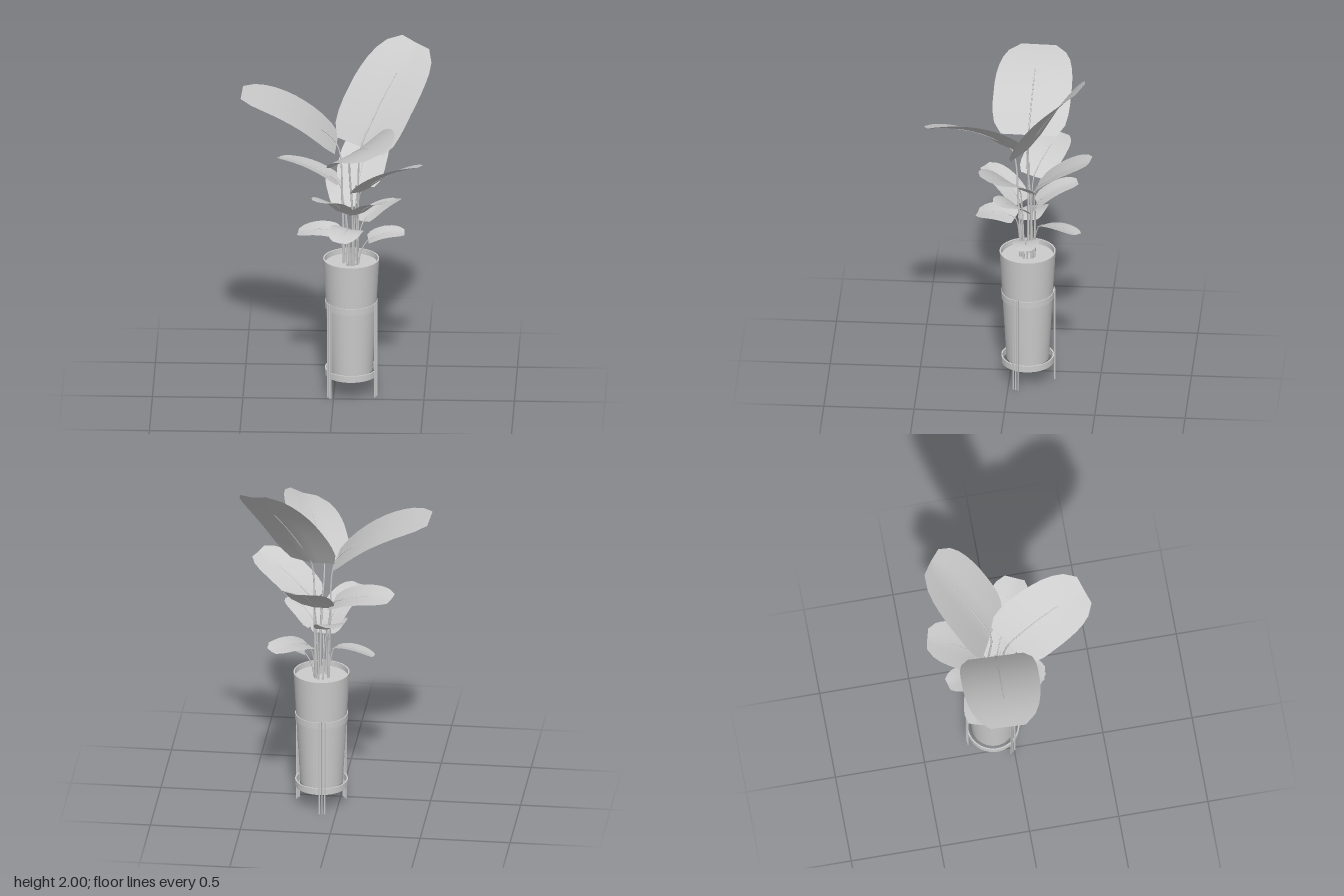
import * as THREE from 'three';

const CX = 0.095, CZ = -0.10;
const SOIL_Y = 0.77;
const material = new THREE.MeshStandardMaterial({ color: 0xcccccc, side: THREE.DoubleSide });
const V = (x, y, z) => new THREE.Vector3(x, y, z);

function add(parent, geometry, name) {
  const mesh = new THREE.Mesh(geometry, material);
  mesh.name = name;
  parent.add(mesh);
  return mesh;
}

// Lathe whose profile keeps its corners sharp: one band per profile segment
function turned(parent, profile, name) {
  const group = new THREE.Group();
  group.name = name;
  for (let i = 0; i + 1 < profile.length; i++) {
    const pts = [profile[i], profile[i + 1]].map(([r, y]) => new THREE.Vector2(r, y));
    add(group, new THREE.LatheGeometry(pts, 48), name + 'Surface');
  }
  parent.add(group);
}

// Half width along a blade, as a share of the full half width
const OUTLINE = [0.72, 0.92, 0.98, 1, 1, 1, 0.98, 0.94, 0.87, 0.74, 0.45];

// Blade swept along an arched spine, rolled about it and folded along the midrib
function bladeGeometry(spine, halfWidth, roll, fold) {
  const rows = OUTLINE.length - 1, cols = 6;
  const positions = [], index = [];
  const ends = spine.v2.clone().sub(spine.v0);
  const across = V(ends.z, 0, -ends.x).normalize();
  for (let i = 0; i <= rows; i++) {
    const t = i / rows, w = halfWidth * OUTLINE[i];
    const centre = spine.getPoint(t), tangent = spine.getTangent(t);
    const side = across.clone().applyAxisAngle(tangent, roll);
    const normal = tangent.clone().cross(side);
    for (let j = 0; j <= cols; j++) {
      const u = (j / cols) * 2 - 1;
      const p = centre.clone().addScaledVector(side, u * w).addScaledVector(normal, fold * w * Math.abs(u));
      positions.push(p.x, p.y, p.z);
      if (i < rows && j < cols) {
        const a = i * (cols + 1) + j, b = a + cols + 1;
        index.push(a, b, a + 1, a + 1, b, b + 1);
      }
    }
  }
  const geometry = new THREE.BufferGeometry();
  geometry.setAttribute('position', new THREE.Float32BufferAttribute(positions, 3));
  geometry.setIndex(index);
  geometry.computeVertexNormals();
  return geometry;
}

// Tube that thins towards its end
function taperedTube(path, radius, endShare) {
  const rings = 28, sides = 6;
  const geometry = new THREE.TubeGeometry(path, rings, radius, sides);
  const pos = geometry.attributes.position, p = V(0, 0, 0);
  for (let i = 0; i < pos.count; i++) {
    const t = Math.floor(i / (sides + 1)) / rings;
    p.fromBufferAttribute(pos, i).lerp(path.getPointAt(t), t * (1 - endShare));
    pos.setXYZ(i, p.x, p.y, p.z);
  }
  return geometry;
}

// One leaf: blade plus a stalk that rises from the soil and runs on as the midrib
function addLeaf(parent, { base, tip, arch, width, roll = 0, fold = 0.1, thick = 0.006 }) {
  const group = new THREE.Group();
  group.name = 'leaf';
  const b = V(...base), e = V(...tip);
  const mid = b.clone().lerp(e, 0.42);
  mid.y += arch;
  const spine = new THREE.QuadraticBezierCurve3(b, mid, e);
  add(group, bladeGeometry(spine, width / 2, roll, fold), 'blade');

  const out = V(e.x - CX, 0, e.z - CZ).normalize();
  const root = V(CX, SOIL_Y - 0.01, CZ).addScaledVector(out, 0.04);
  const knee = root.clone().lerp(b, 0.5);
  knee.x = root.x + (b.x - root.x) * 0.22;
  knee.z = root.z + (b.z - root.z) * 0.22;
  const path = new THREE.CatmullRomCurve3([
    root, knee, b, spine.getPoint(0.25), spine.getPoint(0.5), spine.getPoint(0.68),
  ]);
  add(group, taperedTube(path, thick, 0.3), 'stalk');
  parent.add(group);
}

const LEAVES = [
  // tall crown leaves
  { base: [0.15, 1.46, -0.105], tip: [0.445, 1.97, -0.39], arch: 0.09, width: 0.42, roll: 0.3, thick: 0.008 },
  { base: [0.015, 1.48, -0.10], tip: [-0.51, 1.77, -0.12], arch: 0.12, width: 0.43, fold: 0, thick: 0.008 },
  { base: [0.09, 1.43, -0.01], tip: [0.26, 1.63, 0.44], arch: 0.10, width: 0.37, roll: 0.42, thick: 0.008 },
  // middle leaves
  { base: [0.13, 1.21, -0.15], tip: [0.2, 1.42, -0.45], arch: 0.05, width: 0.27 },
  { base: [0.15, 1.21, -0.06], tip: [0.47, 1.42, 0.09], arch: 0.06, width: 0.26, roll: -0.2 },
  { base: [0.03, 1.23, -0.13], tip: [-0.31, 1.33, -0.26], arch: 0.06, width: 0.21, roll: 0.22 },
  // lower middle leaves
  { base: [0.06, 1.08, -0.06], tip: [-0.08, 1.23, 0.15], arch: 0.06, width: 0.18 },
  { base: [0.13, 1.07, -0.07], tip: [0.29, 1.18, 0.05], arch: 0.05, width: 0.17, roll: -0.15 },
  { base: [0.06, 1.08, -0.15], tip: [0.0, 1.19, -0.37], arch: 0.05, width: 0.16 },
  // low leaves
  { base: [0.16, 0.99, -0.17], tip: [0.34, 1.04, -0.39], arch: 0.04, width: 0.15, roll: -0.2, thick: 0.005 },
  { base: [0.09, 1.0, -0.03], tip: [0.04, 1.0, 0.18], arch: 0.04, width: 0.18, roll: -0.1, thick: 0.005 },
  { base: [0.02, 0.95, -0.10], tip: [-0.20, 0.93, -0.15], arch: 0.04, width: 0.15, roll: -0.2, thick: 0.005 },
  { base: [0.19, 0.91, -0.10], tip: [0.39, 0.95, -0.11], arch: 0.04, width: 0.15, roll: 0.1, thick: 0.005 },
];

export function createModel() {
  const model = new THREE.Group();
  model.name = 'pottedPlant';

  // Tapered pot with a thin rim, and the soil inside
  const planter = new THREE.Group();
  planter.name = 'planter';
  planter.position.set(CX, 0, CZ);
  turned(planter, [[0, 0.14], [0.118, 0.14], [0.155, 0.8], [0.147, 0.8], [0.143, 0.74]], 'pot');
  const soil = add(planter, new THREE.CircleGeometry(0.145, 48), 'soil');
  soil.rotation.x = -Math.PI / 2;
  soil.position.y = SOIL_Y;

  // Stand: two flat hoops
  for (const [name, y] of [['upperHoop', 0.515], ['lowerHoop', 0.115]]) {
    turned(planter, [[0.138, y], [0.146, y], [0.146, y + 0.037], [0.138, y + 0.037], [0.138, y]], name);
  }

  // Three legs, each made of three thin rods side by side
  for (let k = 0; k < 3; k++) {
    const leg = new THREE.Group();
    leg.name = 'leg';
    for (const offset of [-0.015, 0, 0.015]) {
      const rod = add(leg, new THREE.CylinderGeometry(0.004, 0.004, 0.56, 8), 'legRod');
      rod.position.set(0.149, 0.28, offset);
    }
    leg.rotation.y = THREE.MathUtils.degToRad(97.6 - 120 * k);
    planter.add(leg);
  }
  model.add(planter);

  // Foliage
  const plant = new THREE.Group();
  plant.name = 'plant';
  for (const leaf of LEAVES) addLeaf(plant, leaf);
  model.add(plant);
  return model;
}
